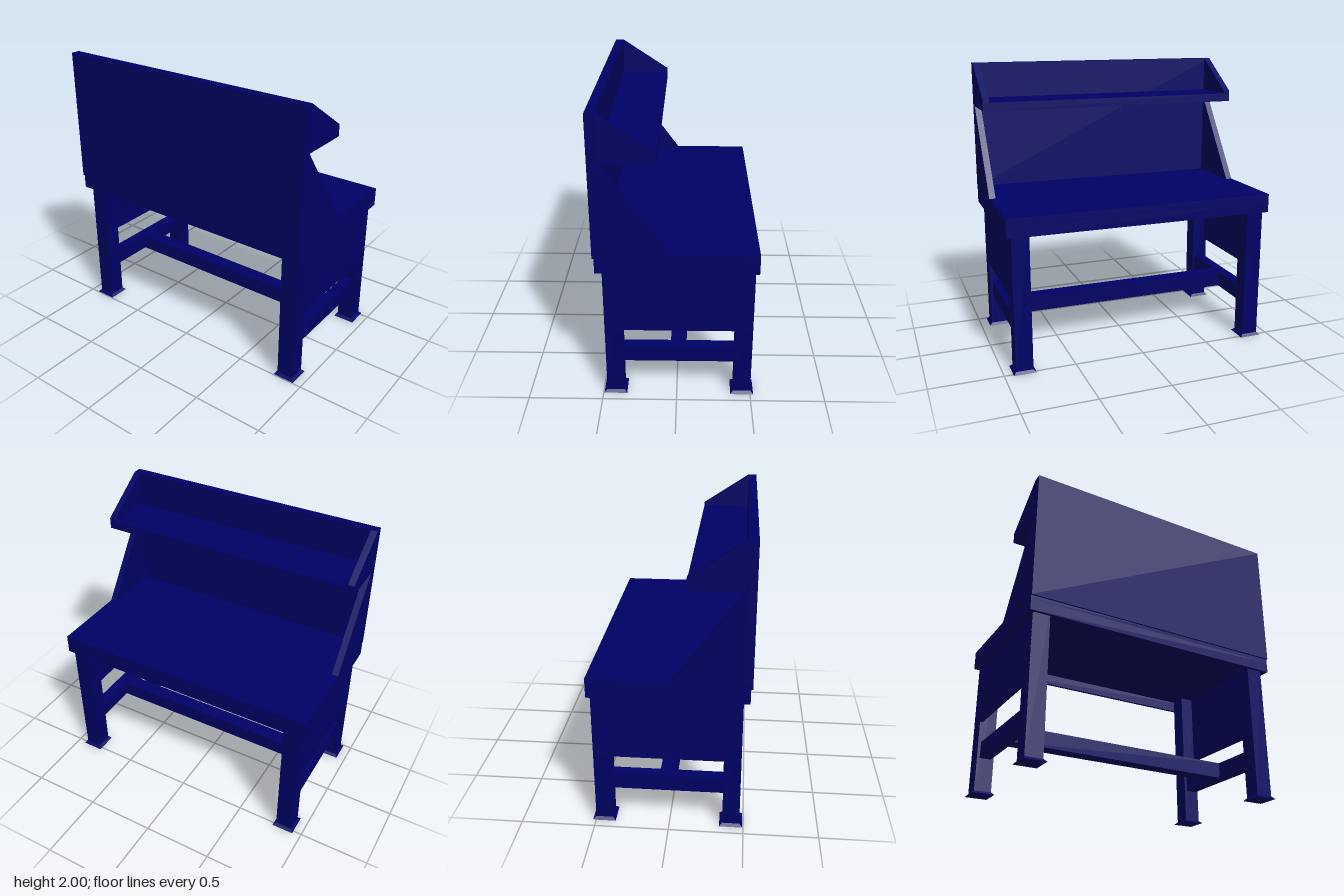
import * as THREE from 'three';

export function createModel() {
  const group = new THREE.Group();
  const mat = new THREE.MeshStandardMaterial({ color: 0x000066, flatShading: true });

  const add = (name, geometry) => {
    const mesh = new THREE.Mesh(geometry, mat);
    mesh.name = name;
    group.add(mesh);
    return mesh;
  };
  // Box given by its limits on each axis
  const box = (name, x0, x1, y0, y1, z0, z1) => {
    const mesh = add(name, new THREE.BoxGeometry(x1 - x0, y1 - y0, z1 - z0));
    mesh.position.set((x0 + x1) / 2, (y0 + y1) / 2, (z0 + z1) / 2);
  };
  // Board cut to an x/y outline, starting at z0
  const board = (name, points, z0, depth) => {
    const shape = new THREE.Shape(points.map(([x, y]) => new THREE.Vector2(x, y)));
    add(name, new THREE.ExtrudeGeometry(shape, { depth, bevelEnabled: false })).position.z = z0;
  };

  // Worktop slab with a rim hanging around its edge
  box('worktop', -0.515, 0.523, 1.035, 1.09, -0.955, 0.955);
  box('frontRim', 0.502, 0.523, 0.957, 1.035, -0.955, 0.955);
  box('rearRim', -0.515, -0.494, 0.957, 1.035, -0.955, 0.955);
  for (const z of [-0.955, 0.921]) box('sideRim', -0.494, 0.502, 0.957, 1.035, z, z + 0.034);

  // Legs with flared feet
  for (const x of [-0.4165, 0.4445]) {
    for (const z of [-0.86, 0.86]) {
      box('leg', x - 0.0575, x + 0.0575, 0, 1.035, z - 0.06, z + 0.06);
      const foot = new THREE.CylinderGeometry(0.06 * Math.SQRT2, 0.078 * Math.SQRT2, 0.018, 4);
      foot.rotateY(Math.PI / 4);
      add('foot', foot).position.set(x, 0.009, z);
    }
  }

  // Apron panels and low rails at both ends
  for (const s of [-1, 1]) {
    const [p0, p1] = s > 0 ? [0.9, 0.921] : [-0.921, -0.9];
    box('endPanel', -0.473, 0.501, 0.507, 1.035, p0, p1);
    box('endRail', -0.37, 0.395, 0.247, 0.36, s * 0.86 - 0.04, s * 0.86 + 0.04);
  }
  // Long rail joining the end rails
  box('longRail', -0.04, 0.065, 0.247, 0.36, -0.83, 0.83);

  // Back board, lapping over the rear edge of the worktop
  board('backBoard', [[-0.527, 1.06], [-0.515, 1.06], [-0.515, 1.09], [-0.465, 1.09],
    [-0.465, 2], [-0.527, 2]], -0.955, 1.91);

  // Shelf with sloping cheeks, and the gussets below it
  box('shelf', -0.465, -0.115, 1.69, 1.75, -0.955, 0.955);
  for (const z of [-0.955, 0.91]) {
    board('shelfCheek', [[-0.465, 1.75], [-0.115, 1.75], [-0.115, 1.77], [-0.465, 2]], z, 0.045);
    board('gusset', [[-0.465, 1.09], [-0.027, 1.09], [-0.465, 1.69]], z, 0.045);
  }

  return group;
}
